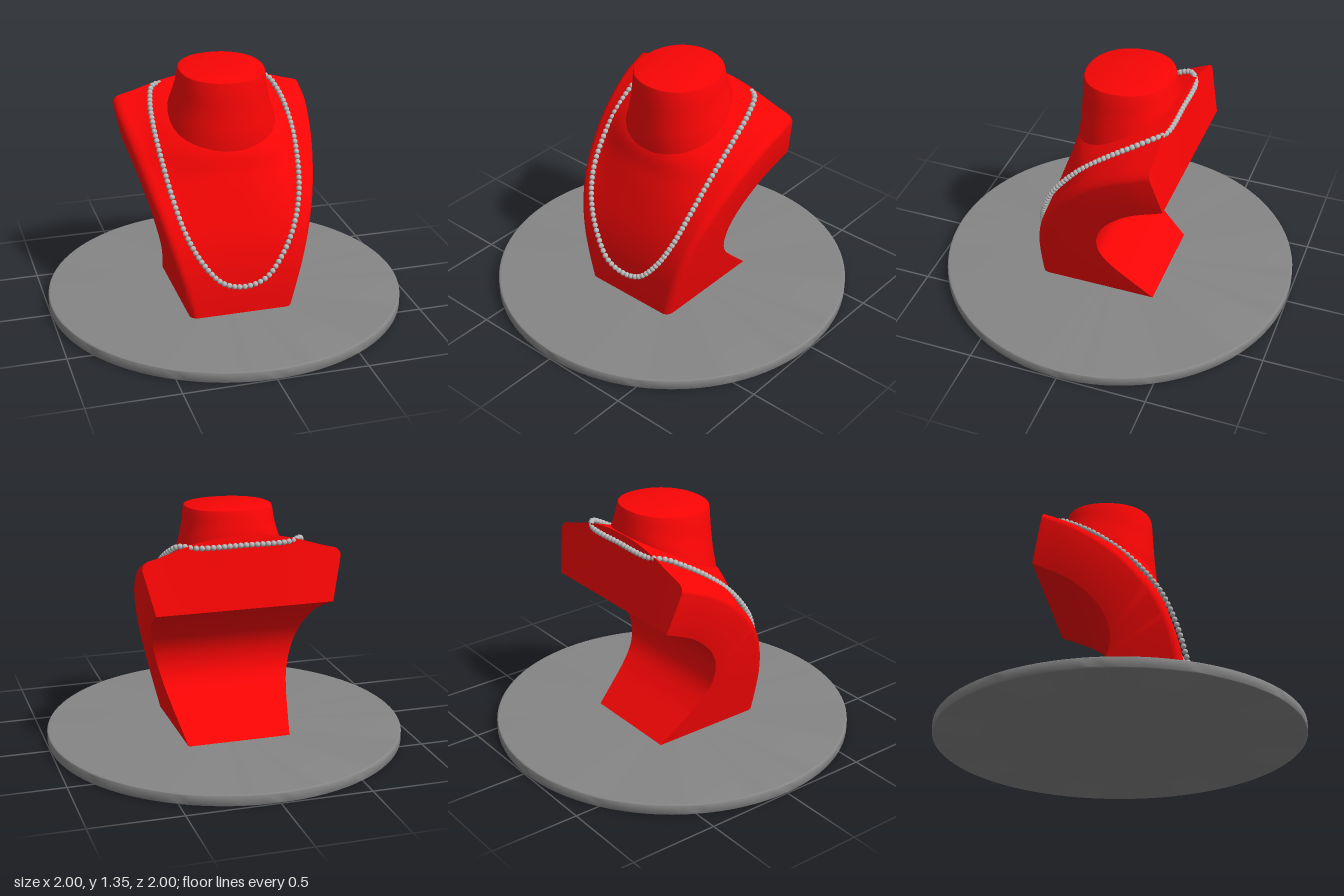
import * as THREE from 'three';
import { toCreasedNormals } from 'three/addons/utils/BufferGeometryUtils.js';

const red = new THREE.MeshStandardMaterial({ color: 0xfc0505 });
const darkGrey = new THREE.MeshStandardMaterial({ color: 0x868686 });
const beadGrey = new THREE.MeshStandardMaterial({ color: 0xb8b8b8 });

// Skin a stack of rings (front half runs -x to +x, back half returns) and cap both ends.
function loft(rings, crease) {
  const n = rings[0].length, last = (rings.length - 1) * n, index = [];
  const quad = (a, b, c, d) => index.push(a, b, c, a, c, d);
  for (let i = 0; i < rings.length - 1; i++) {
    for (let j = 0; j < n; j++) {
      const k = (j + 1) % n;
      quad(i * n + j, i * n + k, (i + 1) * n + k, (i + 1) * n + j);
    }
  }
  for (let j = 0; j < n / 2 - 1; j++) {
    const f = j, g = j + 1, h = n - 2 - j, b = n - 1 - j;
    quad(last + f, last + g, last + h, last + b);
    quad(b, h, g, f);
  }
  const geo = new THREE.BufferGeometry();
  geo.setAttribute('position', new THREE.Float32BufferAttribute(rings.flat(2), 3));
  geo.setIndex(index);
  return toCreasedNormals(geo, crease);
}

// Side-view curve from [z, y] pairs
const profile = (pts) => new THREE.SplineCurve(pts.map(([z, y]) => new THREE.Vector2(z, y)));

function torsoGeometry() {
  const edge = profile([[0.37, 0.05], [0.37, 0.2], [0.36, 0.35], [0.326, 0.5], [0.255, 0.66],
    [0.14, 0.81], [0, 0.94], [-0.17, 1.05], [-0.345, 1.13]]);
  const middle = profile([[0.37, 0.05], [0.372, 0.2], [0.365, 0.35], [0.34, 0.5], [0.295, 0.66],
    [0.24, 0.83], [0.17, 1.0], [-0.09, 1.15], [-0.338, 1.23]]);
  const back = profile([[-0.31, 0.05], [-0.2, 0.15], [-0.1, 0.245], [-0.03, 0.335], [-0.003, 0.43],
    [-0.02, 0.54], [-0.09, 0.65], [-0.22, 0.76], [-0.408, 0.85]]);
  const halfWidth = (y) => Math.min(0.545, 0.29 + (y - 0.06) * 0.25);
  const radius = 0.042, steps = 48, across = 40;
  const rings = [];
  for (let i = 0; i <= steps; i++) {
    const t = i / steps;
    const e = edge.getPoint(t), m = middle.getPoint(t), b = back.getPoint(t);
    const wf = halfWidth(e.y), wb = halfWidth(b.y);
    const inward = b.clone().sub(e).normalize();
    const front = [], rear = [];
    for (let j = 0; j <= across; j++) {
      // samples gather towards the rounded front corners
      const u = Math.sin((j / across - 0.5) * Math.PI);
      const w = Math.pow(Math.max(0, 1 - Math.pow(Math.abs(u), 2.5)), 1.8);
      const k = Math.max(0, (Math.abs(u) * wf - wf + radius) / radius);
      const d = radius * (1 - Math.sqrt(Math.max(0, 1 - k * k)));
      const p = e.clone().lerp(m, w).addScaledVector(inward, d);
      front.push([u * wf, p.y, p.x]);
      rear.unshift([u * wb, b.y, b.x]);
    }
    rings.push([...front, ...rear]);
  }
  return loft(rings, 0.6);
}

function neckGeometry() {
  // front z, front y, back z, back y, half width
  const levels = [
    [0.19, 0.87, -0.32, 1.1, 0.305],
    [0.208, 0.965, -0.332, 1.2, 0.295],
    [0.197, 1.08, -0.32, 1.26, 0.265],
    [0.19, 1.2, -0.307, 1.31, 0.246],
    [0.184, 1.315, -0.3, 1.342, 0.237],
    [0.181, 1.327, -0.296, 1.353, 0.232],
    [0.174, 1.33, -0.29, 1.355, 0.226],
  ];
  const n = 64;
  const squash = (v) => Math.sign(v) * Math.pow(Math.abs(v), 0.92);
  const rings = levels.map(([zf, yf, zb, yb, rx]) => Array.from({ length: n }, (_, k) => {
    const a = ((k + 0.5) / n) * Math.PI * 2 - Math.PI / 2;
    const f = (1 + squash(Math.cos(a))) / 2;
    return [rx * squash(Math.sin(a)), yb + (yf - yb) * f, zb + (zf - zb) * f];
  }));
  return loft(rings, 0.7);
}

function necklace() {
  const half = [[0.12, 0.275, 0.41], [0.22, 0.385, 0.382], [0.3, 0.54, 0.338], [0.35, 0.71, 0.262],
    [0.378, 0.9, 0.112], [0.383, 1.05, -0.065], [0.365, 1.14, -0.205], [0.33, 1.186, -0.295],
    [0.25, 1.182, -0.345]];
  const mirrored = half.map(([x, y, z]) => [-x, y, z]).reverse();
  const points = [[0, 0.242, 0.415], ...half, [0, 1.182, -0.353], ...mirrored];
  const path = new THREE.CatmullRomCurve3(points.map((p) => new THREE.Vector3(...p)), true);
  path.arcLengthDivisions = 800;
  const count = Math.round(path.getLength() / 0.03);
  const bead = new THREE.SphereGeometry(0.0155, 16, 12);
  const group = new THREE.Group();
  group.name = 'necklace';
  for (let i = 0; i < count; i++) {
    const mesh = new THREE.Mesh(bead, beadGrey);
    mesh.name = 'bead';
    mesh.position.copy(path.getPointAt(i / count));
    group.add(mesh);
  }
  return group;
}

// Round plate with softly rounded rims
function plateGeometry() {
  const r = 0.008, height = 0.06, pts = [[0, 0], [0.985, 0]];
  for (const [y, start] of [[r, -Math.PI / 2], [height - r, 0]]) {
    for (let i = 0; i <= 4; i++) {
      const a = start + (i / 4) * Math.PI / 2;
      pts.push([1 - r + r * Math.cos(a), y + r * Math.sin(a)]);
    }
  }
  pts.push([0.985, height], [0, height]);
  return toCreasedNormals(new THREE.LatheGeometry(pts.map(([x, y]) => new THREE.Vector2(x, y)), 96), 0.6);
}

export function createModel() {
  const model = new THREE.Group();
  model.name = 'necklaceDisplay';
  const add = (name, geometry, material) => {
    const mesh = new THREE.Mesh(geometry, material);
    mesh.name = name;
    model.add(mesh);
  };
  add('basePlate', plateGeometry(), darkGrey);
  add('torso', torsoGeometry(), red);
  add('neck', neckGeometry(), red);
  model.add(necklace());
  return model;
}
